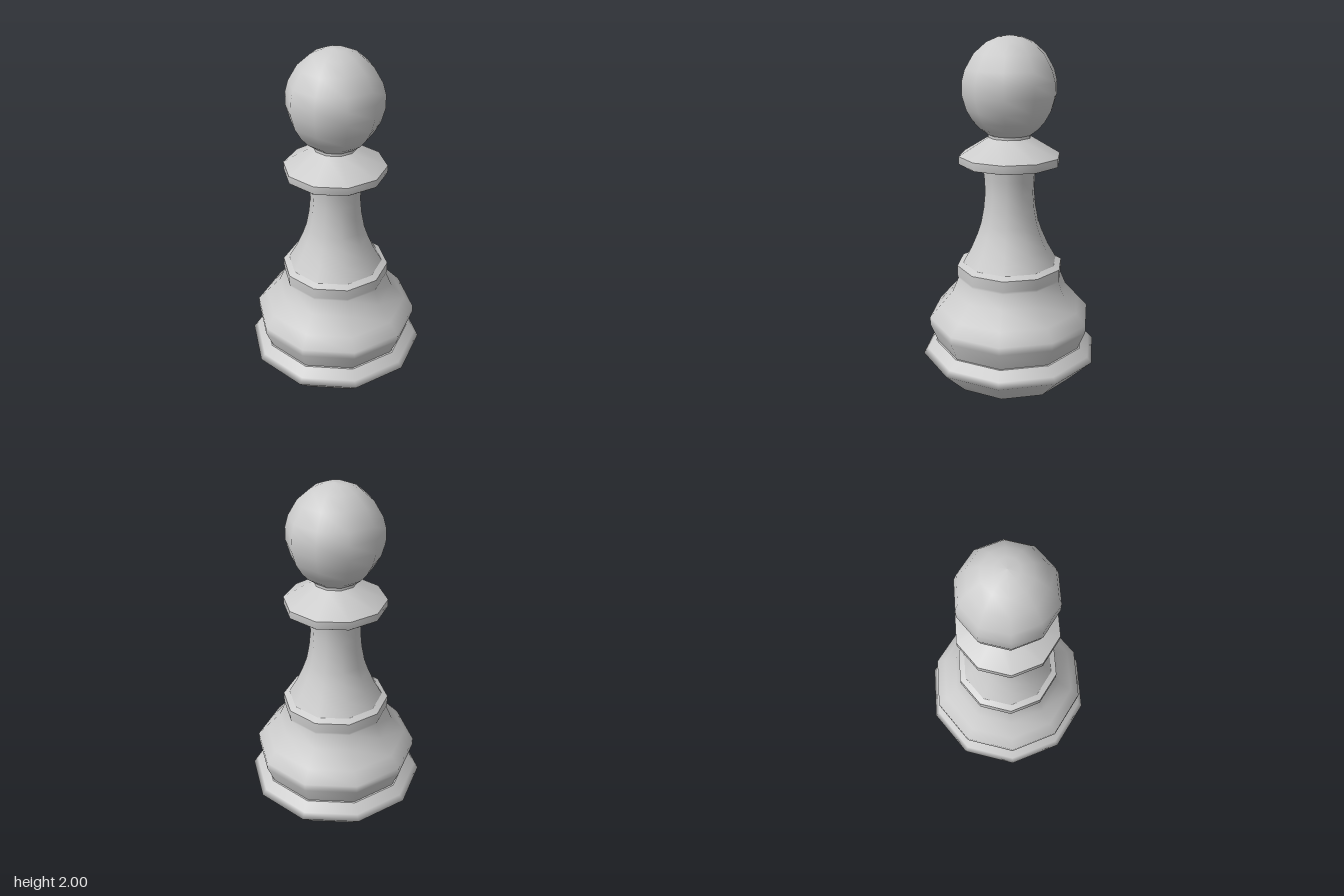
import * as THREE from 'three';

const SIDES = 10;
const TURN = 0.057; // slight twist of the ten-sided plan

export function createModel() {
  const group = new THREE.Group();
  const material = new THREE.MeshStandardMaterial({ color: 0xcccccc });

  // One turned part; profile is [radius, height] from bottom to top
  const turned = (name, profile) => {
    const points = profile.map(([r, y]) => new THREE.Vector2(r, y));
    const mesh = new THREE.Mesh(new THREE.LatheGeometry(points, SIDES, TURN), material);
    mesh.name = name;
    group.add(mesh);
  };

  // Foot: flat underside, flared rim and narrow shelf
  turned('footUnderside', [[0, 0], [0.384, 0]]);
  turned('foot', [[0.384, 0], [0.527, 0.145], [0.5, 0.175], [0.45, 0.222]]);
  turned('footShelf', [[0.45, 0.222], [0.4, 0.222]]);

  // Bulging body, running smoothly into the collar
  turned('body', [
    [0.44, 0.222], [0.483, 0.33], [0.483, 0.375], [0.425, 0.44],
    [0.345, 0.53], [0.309, 0.615], [0.313, 0.63], [0.313, 0.692],
  ]);
  turned('collarTop', [[0.313, 0.692], [0.278, 0.71]]);

  // Concave stem
  turned('stem', [
    [0.278, 0.71], [0.23, 0.795], [0.193, 0.88], [0.17, 0.945],
    [0.153, 1.035], [0.144, 1.13], [0.148, 1.21], [0.158, 1.295],
  ]);

  // Disc under the head
  turned('discUnderside', [[0.14, 1.292], [0.284, 1.292]]);
  turned('discRim', [[0.284, 1.292], [0.292, 1.3], [0.292, 1.342]]);
  turned('discTop', [[0.292, 1.342], [0.123, 1.445]]);
  turned('neck', [[0.123, 1.445], [0.123, 1.46]]);

  // Round head
  turned('head', [
    [0.12, 1.458], [0.17, 1.495], [0.21, 1.54], [0.245, 1.6], [0.268, 1.68], [0.268, 1.755],
    [0.25, 1.82], [0.2, 1.905], [0.13, 1.965], [0.065, 1.992], [0, 2],
  ]);

  return group;
}
